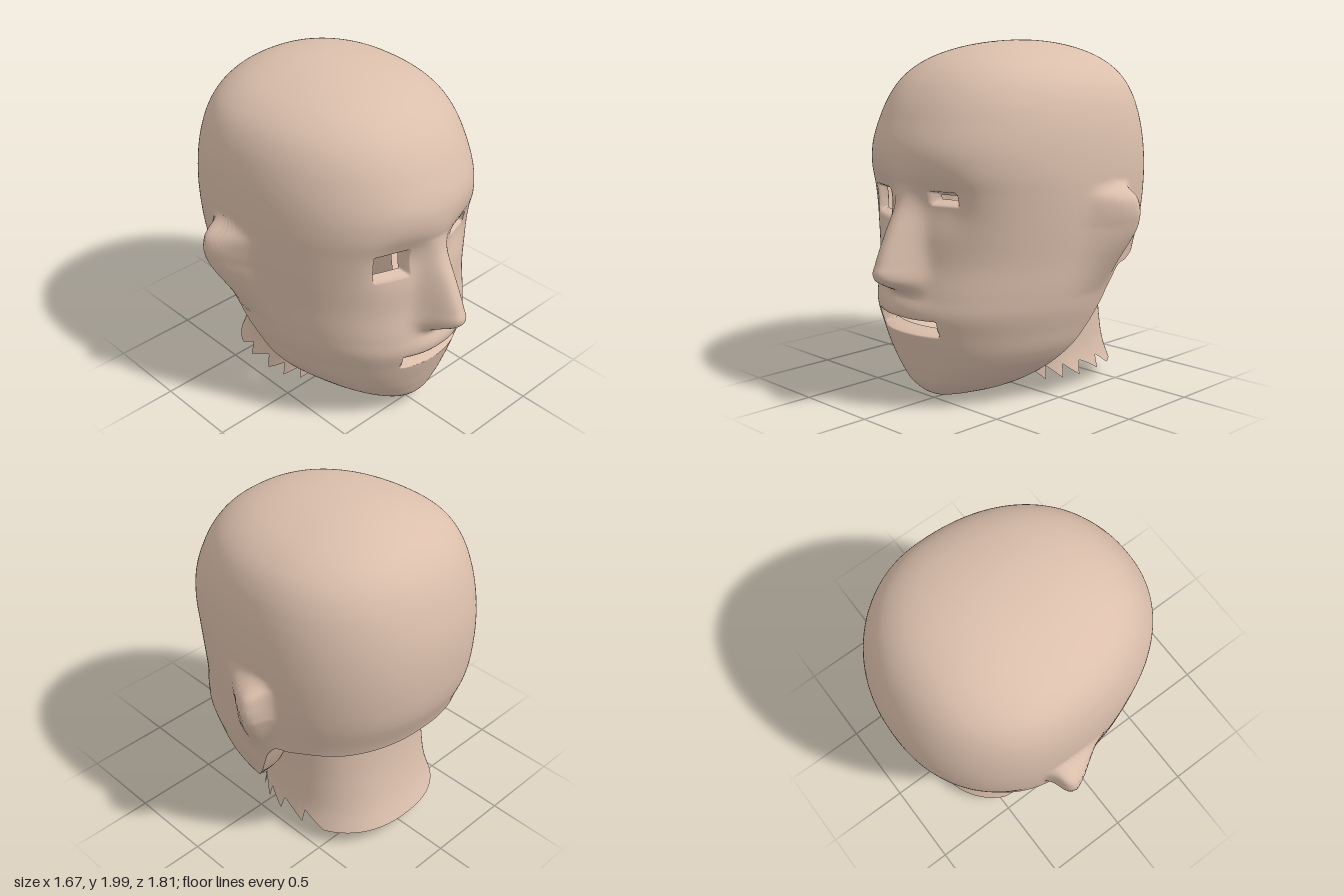
import * as THREE from 'three';

const ZC = -0.2; // depth of the vertical axis of the head
const RAD = Math.PI / 180;
const clamp01 = (v) => Math.min(1, Math.max(0, v));
const pw = (v, p) => Math.sign(v) * Math.pow(Math.abs(v), p);
const bell = (v, s, p = 2) => Math.exp(-Math.pow(Math.abs(v) / s, p));

// smooth interpolation through rows [key, ...values], keys ascending
function sample(rows, k, c = 1) {
  let i = 0;
  while (i < rows.length - 2 && k > rows[i + 1][0]) i++;
  const a = rows[i], b = rows[i + 1], h = b[0] - a[0], t = clamp01((k - a[0]) / h);
  const chord = (j) => (rows[j + 1][c] - rows[j][c]) / (rows[j + 1][0] - rows[j][0]);
  const slope = (j) => {
    if (j === 0) return chord(0);
    if (j === rows.length - 1) return chord(j - 1);
    const h0 = rows[j][0] - rows[j - 1][0], h1 = rows[j + 1][0] - rows[j][0];
    return (chord(j - 1) * h1 + chord(j) * h0) / (h0 + h1);
  };
  const t2 = t * t, t3 = t2 * t;
  return (2 * t3 - 3 * t2 + 1) * a[c] + (t3 - 2 * t2 + t) * h * slope(i)
    + (3 * t2 - 2 * t3) * b[c] + (t3 - t2) * h * slope(i + 1);
}

// head outline: height, half width, front z, back z (keyed by root of depth below the crown)
const OUTLINE = [
  [2, 0, -0.2, -0.2], [1.95, 0.315, 0.23, -0.535], [1.9, 0.44, 0.37, -0.64],
  [1.8, 0.575, 0.52, -0.75], [1.7, 0.637, 0.604, -0.81], [1.6, 0.67, 0.66, -0.848],
  [1.4, 0.7, 0.73, -0.892], [1.3, 0.705, 0.73, -0.9], [1.2, 0.704, 0.71, -0.9],
  [1.0, 0.69, 0.69, -0.875], [0.82, 0.668, 0.692, -0.81],
  [0.65, 0.645, 0.725, -0.77], [0.55, 0.625, 0.74, -0.75], [0.44, 0.592, 0.715, -0.75],
  [0.3, 0.54, 0.672, -0.75], [0.2, 0.465, 0.638, -0.75], [0.1, 0.335, 0.588, -0.75],
  [0.05, 0.235, 0.53, -0.75], [0, 0.1, 0.42, -0.75],
].map(([y, ...r]) => [Math.sqrt(2 - y), ...r]);

// height of the jaw and skull edge by angle from the front
const EDGE = [[0, 0.035], [40, 0.042], [58, 0.06], [66, 0.11], [74, 0.2], [80.5, 0.3], [87, 0.45],
  [91, 0.6], [97, 0.72], [109, 0.77], [140, 0.798], [180, 0.82]];
const edgeY = (a) => sample(EDGE, Math.acos(Math.cos(a)) / RAD);

// ear bulge by height, and by depth
const EAR_Y = [[0.62, 0], [0.7, 0.17], [0.8, 0.45], [0.9, 0.76], [1, 0.97], [1.1, 0.98],
  [1.17, 0.7], [1.21, 0.2], [1.24, 0]];
const EAR_Z = [[-0.36, 0], [-0.32, 0.3], [-0.28, 0.82], [-0.24, 1], [-0.18, 0.85],
  [-0.1, 0.45], [-0.02, 0.1], [0.05, 0]];

// nose ridge height
const NOSE = [[0.64, 0], [0.67, 0.03], [0.7, 0.1], [0.74, 0.18], [0.78, 0.21], [0.83, 0.2],
  [1, 0.125], [1.15, 0.04], [1.25, 0]];

// openings: centre x, centre y, half width, half height, depth
const OPENINGS = [[-0.265, 1.125, 0.098, 0.078, 0.06], [0.235, 1.188, 0.08, 0.035, 0.06],
  [0, 0.485, 0.225, 0.042, 0.1]];

// point on the outer head, with nose, sockets, openings and ears
function headPoint(a, y) {
  const k = Math.sqrt(Math.max(0, 2 - y));
  const [w, zf, zb] = [1, 2, 3].map((c) => sample(OUTLINE, k, c));
  const c = Math.cos(a);
  let x = w * pw(Math.sin(a), 0.92);
  let z = ZC + (c > 0 ? zf - ZC : ZC - zb) * pw(c, 0.92);
  let hole = 0;
  if (c > 0.3) {
    const ax = Math.abs(x), x0 = x;
    z += sample(NOSE, y) * bell(x, 0.075 + 0.04 * clamp01((1.2 - y) / 0.45), 2.6);
    z -= 0.045 * bell(ax - 0.22, 0.15, 2.5) * bell(y - 1.16, 0.14);
    z += 0.015 * bell(x, 0.18, 3) * bell(y - 0.58, 0.06);
    for (const [cx, cy, hx, hy, depth] of OPENINGS) {
      const r = clamp01(Math.min(hx - Math.abs(x0 - cx), hy - Math.abs(y - cy)) / 0.014);
      z -= depth * r;
      hole = Math.max(hole, r);
    }
  }
  const zz = z - 0.25 * Math.max(0, 1 - y);
  if (y > 0.62 && y < 1.24 && zz > -0.36 && zz < 0.05) {
    const e = sample(EAR_Y, y) * sample(EAR_Z, zz);
    x += Math.sign(x) * 0.135 * e;
    z -= 0.03 * e;
  }
  return { p: [x, y, z], hole };
}

// quads over a grid of points; rows run downwards, columns from the front towards +x
function gridGeometry(rows, cols, closed, point) {
  const pos = [], hole = [], index = [];
  for (let i = 0; i <= rows; i++) {
    for (let j = 0; j < cols; j++) {
      const q = point(i, j);
      pos.push(...q.p);
      hole.push(q.hole || 0);
    }
  }
  for (let i = 0; i < rows; i++) {
    for (let j = 0; j < (closed ? cols : cols - 1); j++) {
      const n = (j + 1) % cols;
      const a = i * cols + j, b = a + cols, c = (i + 1) * cols + n, d = i * cols + n;
      if (Math.min(hole[a], hole[b], hole[c], hole[d]) > 0.99) continue;
      index.push(a, b, c, a, c, d);
    }
  }
  const g = new THREE.BufferGeometry();
  g.setAttribute('position', new THREE.Float32BufferAttribute(pos, 3));
  g.setIndex(index);
  g.computeVertexNormals();
  return g;
}

export function createModel() {
  const group = new THREE.Group();
  group.name = 'head';
  const skin = new THREE.MeshStandardMaterial({ color: 0xdbbfac, side: THREE.DoubleSide });
  const add = (name, geometry) => {
    const m = new THREE.Mesh(geometry, skin);
    m.name = name;
    group.add(m);
  };
  const COLS = 300, ROWS = 170, RIM = 8;
  // columns are denser across the face
  const angle = (j) => {
    const t = (j / COLS) * 2 * Math.PI;
    return t - 0.45 * Math.sin(t);
  };

  // skull, face and ears
  add('skullAndFace', gridGeometry(ROWS, COLS, true, (i, j) => {
    const a = angle(j), s = i / ROWS;
    return headPoint(a, 2 - (2 - edgeY(a)) * (1.1 * s * s) / (s + 0.1));
  }));

  // underside turning in from the jaw and skull edge to the neck
  add('underside', gridGeometry(RIM, COLS, true, (i, j) => {
    const a = angle(j), y = edgeY(a), c = Math.cos(a);
    const o = headPoint(a, y).p;
    const nx = 0.47 * pw(Math.abs(Math.sin(a)), 0.85);
    const inner = [
      Math.sign(o[0]) * Math.min(nx, 0.95 * Math.abs(o[0])),
      y + (c > 0 ? -0.025 * c * c : -0.03 * c),
      c > 0 ? Math.min(o[2], ZC + 0.4 * pw(c, 0.4)) : Math.max(o[2], ZC + 0.41 * pw(c, 0.85)),
    ];
    return { p: o.map((v, n) => THREE.MathUtils.lerp(v, inner[n], i / RIM)) };
  }));

  // neck with a ragged lower edge at the sides: height, half width, back z
  const NECK = [[0.08, 0.505, -0.73], [0.2, 0.475, -0.68], [0.4, 0.46, -0.632],
    [0.6, 0.46, -0.612], [0.9, 0.47, -0.62]];
  const NC = 181, A0 = 44 * RAD;
  add('neck', gridGeometry(24, NC, false, (i, j) => {
    const a = A0 + (j / (NC - 1)) * (2 * Math.PI - 2 * A0);
    const c = Math.cos(a), side = Math.acos(c) / RAD;
    const tooth = side < 119 ? 1 - ((side - 44) / 15) % 1 : 0;
    const bottom = 0.1 + 0.085 * clamp01(tooth);
    const top = Math.max(0.34, edgeY(Math.min(side + 14, 180) * RAD) + 0.06);
    const y = THREE.MathUtils.lerp(top, bottom, i / 24);
    const w = sample(NECK, y, 1), zb = sample(NECK, y, 2);
    return { p: [w * pw(Math.sin(a), 0.85), y, ZC + (c > 0 ? 0.4 : ZC - zb) * pw(c, 0.85)] };
  }));
  return group;
}
